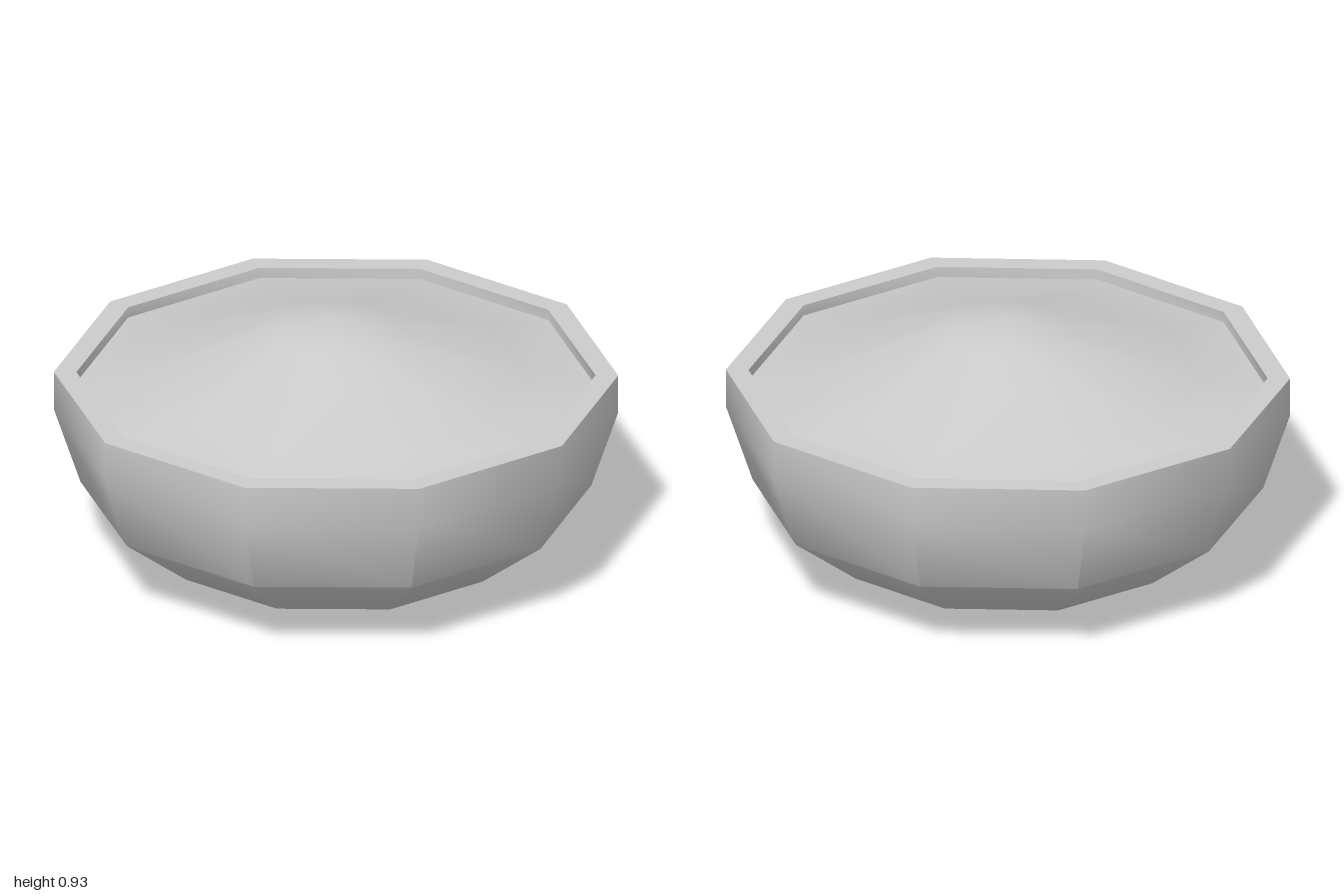
import * as THREE from 'three';
import { toCreasedNormals } from 'three/addons/utils/BufferGeometryUtils.js';

const SIDES = 10;
const CREASE = THREE.MathUtils.degToRad(40);

// Ten-sided turned surface with a corner on the x axis
function turned(name, profile, material) {
  const points = profile.map(([r, y]) => new THREE.Vector2(r, y));
  const lathe = new THREE.LatheGeometry(points, SIDES, Math.PI / 2);
  const mesh = new THREE.Mesh(toCreasedNormals(lathe, CREASE), material);
  mesh.name = name;
  return mesh;
}

export function createModel() {
  const group = new THREE.Group();
  group.name = 'filledBowl';
  const material = new THREE.MeshStandardMaterial({ color: 0xcccccc });

  // Outer shell, flat rim and the short inner wall down to the filling
  group.add(turned('bowl', [
    [0, 0], [0.3, 0], [0.65, 0.08], [0.905, 0.28], [1, 0.565],
    [1, 0.71], [0.92, 0.71], [0.92, 0.67],
  ], material));

  // Heaped filling, rising to a low peak
  group.add(turned('filling', [
    [0.92, 0.67], [0.68, 0.71], [0.23, 0.89], [0, 0.93],
  ], material));

  return group;
}
